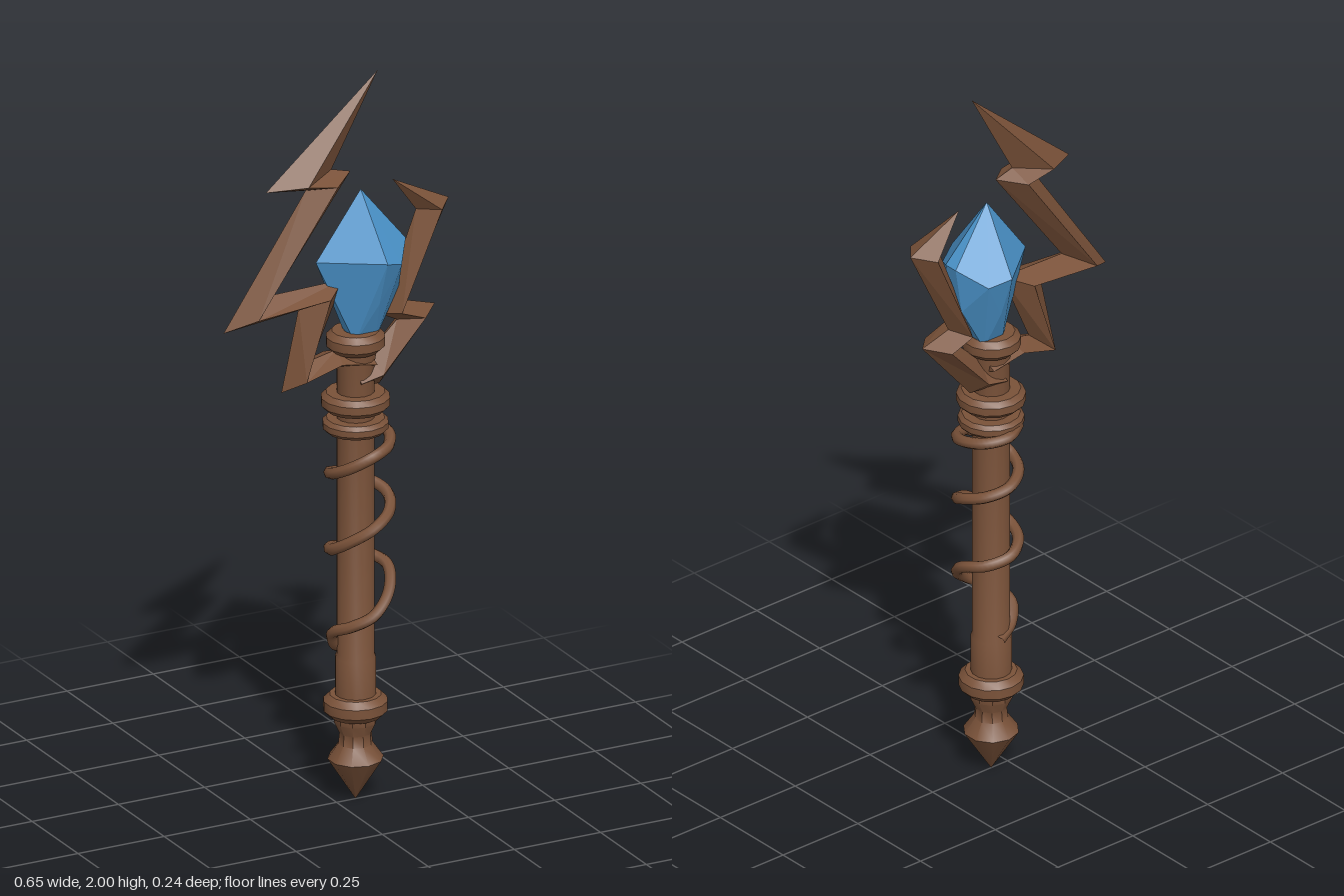
import * as THREE from 'three';
import { toCreasedNormals } from 'three/addons/utils/BufferGeometryUtils.js';
import { ConvexGeometry } from 'three/addons/geometries/ConvexGeometry.js';

const AXIS_X = 0.055; // the shaft stands a little off centre

// Zigzag blade with a diamond section: rows of [leftX, leftY, rightX, rightY], first row is the tip
function boltGeometry(rows, depth) {
  const rings = rows.map(([lx, ly, rx, ry], i) => {
    const mx = (lx + rx) / 2, my = (ly + ry) / 2, d = i === 0 ? 0 : depth;
    return [[lx, ly, 0], [mx, my, d], [rx, ry, 0], [mx, my, -d]];
  });
  const pos = [];
  const tri = (...corners) => corners.forEach((c) => pos.push(...c));
  for (let i = 0; i < rings.length - 1; i++) {
    for (let k = 0; k < 4; k++) {
      const n = (k + 1) % 4;
      tri(rings[i][k], rings[i + 1][k], rings[i + 1][n]);
      if (i > 0) tri(rings[i][k], rings[i + 1][n], rings[i][n]);
    }
  }
  const [l, f, r, b] = rings[rings.length - 1];
  tri(l, b, r);
  tri(l, r, f);
  const g = new THREE.BufferGeometry();
  g.setAttribute('position', new THREE.Float32BufferAttribute(pos, 3));
  g.computeVertexNormals();
  return g;
}

export function createModel() {
  const group = new THREE.Group();
  const wood = new THREE.MeshStandardMaterial({ color: 0x7a5239 });
  wood.name = 'brown wood';
  const blue = new THREE.MeshStandardMaterial({ color: 0x4b94cb });
  blue.name = 'blue crystal';

  const add = (name, geometry, material) => {
    const mesh = new THREE.Mesh(geometry, material);
    mesh.name = name;
    group.add(mesh);
    return mesh;
  };
  const turned = (name, profile, sides = 14) => {
    const lathe = new THREE.LatheGeometry(profile.map(([r, y]) => new THREE.Vector2(r, y)), sides);
    add(name, toCreasedNormals(lathe, 0.6), wood).position.x = AXIS_X;
  };
  // Collar with bevelled rims
  const collar = (name, y0, y1, r) => {
    const b = (y1 - y0) * 0.28;
    turned(name, [[0.03, y0], [r - b, y0], [r, y0 + b], [r, y1 - b], [r - b, y1], [0.03, y1]]);
  };

  // Handle
  turned('pommel', [[0, 0], [0.073, 0.115], [0.045, 0.155], [0.042, 0.185], [0.056, 0.215], [0.056, 0.24]], 10);
  turned('shaft', [[0.053, 0.23], [0.053, 0.395], [0.049, 0.405], [0.049, 1.2], [0.055, 1.24], [0.055, 1.27]]);
  collar('lowerCollar', 0.232, 0.292, 0.084);
  collar('middleCollar', 1.018, 1.055, 0.086);
  collar('upperCollar', 1.078, 1.126, 0.09);
  collar('crystalSocket', 1.24, 1.295, 0.077);

  // Vine: each step is a quarter turn, left, front, right, back, with its height
  const heights = [0.47, 0.53, 0.63, 0.665, 0.7, 0.77, 0.83, 0.87, 0.91, 0.97, 1.0, 1.02];
  const quarter = [[-0.066, 0], [0.01, 0.082], [0.092, 0], [0.01, -0.084]];
  const vinePoints = [new THREE.Vector3(AXIS_X + 0.01, 0.4, -0.045), new THREE.Vector3(AXIS_X - 0.045, 0.425, -0.025)];
  heights.forEach((y, i) => {
    for (const t of [0, 0.5]) {
      const a = quarter[i % 4], b = quarter[(i + 1) % 4];
      const next = heights[i + 1] ?? y + 0.015;
      const s = t ? 1.38 : 1; // push the half step back out onto the round
      const x = (a[0] + (b[0] - a[0]) * t - 0.01) * s + 0.01;
      const z = (a[1] + (b[1] - a[1]) * t) * s;
      vinePoints.push(new THREE.Vector3(AXIS_X + x, y + (next - y) * t, z));
    }
  });
  add('vine', new THREE.TubeGeometry(new THREE.CatmullRomCurve3(vinePoints), 140, 0.0155, 7), wood);

  // Lightning blades
  const blades = [
    ['tallBolt', [
      [0.12, 2, 0.12, 2], [-0.205, 1.72, -0.015, 1.75], [-0.09, 1.705, 0.04, 1.735],
      [-0.328, 1.355, -0.18, 1.435], [-0.11, 1.385, 0.02, 1.44], [-0.16, 1.16, -0.07, 1.235],
      [-0.02, 1.205, 0, 1.25], [0.09, 1.185, 0.09, 1.235],
    ]],
    ['shortBolt', [
      [0.162, 1.69, 0.162, 1.69], [0.23, 1.595, 0.325, 1.61], [0.125, 1.325, 0.198, 1.35],
      [0.175, 1.3, 0.285, 1.325], [0.09, 1.22, 0.125, 1.135], [0.04, 1.2, 0.05, 1.13],
    ]],
  ];
  blades.forEach(([name, rows]) => add(name, boltGeometry(rows, 0.055), wood));

  // Faceted crystal
  const gem = [[0.07, 1.68, 0], [-0.06, 1.5, 0], [0.19, 1.53, 0.02], [0.19, 1.53, -0.02], [0, 1.385, 0]];
  for (const s of [1, -1]) {
    gem.push([0.085, 1.51, 0.12 * s], [0.14, 1.49, 0.092 * s], [0.085, 1.385, 0.075 * s],
      [0.17, 1.4, 0.02 * s], [0.04, 1.27, 0.025 * s], [0.1, 1.27, 0.025 * s]);
  }
  add('crystal', new ConvexGeometry(gem.map((p) => new THREE.Vector3(...p))), blue);

  return group;
}
